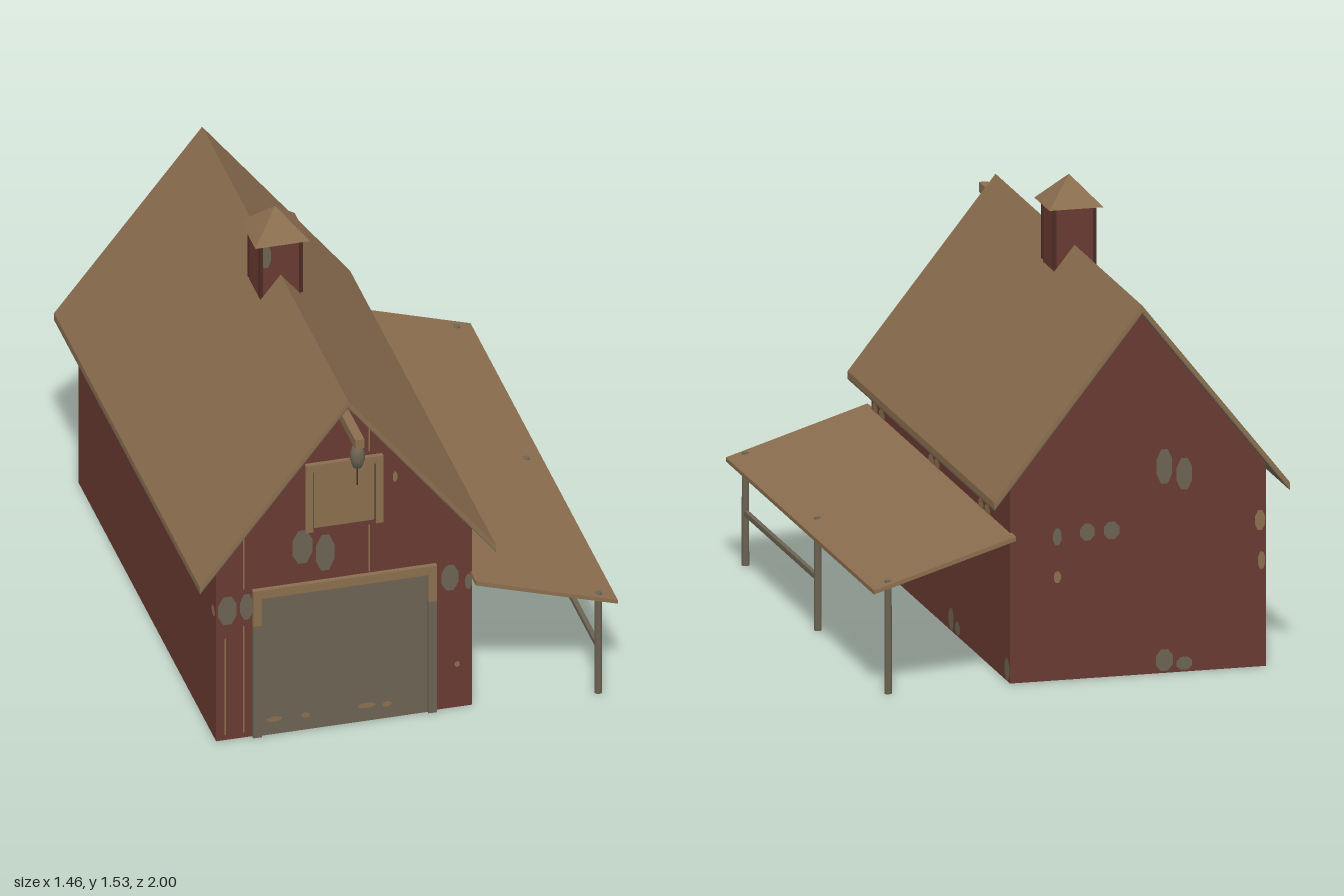
import * as THREE from 'three';

const material = (name, color, side = THREE.FrontSide) => {
  const m = new THREE.MeshStandardMaterial({ color, side });
  m.name = name;
  return m;
};

export function createModel() {
  const red = material('barnRed', 0x683a31);
  const darkRed = material('darkRedTrim', 0x4a2a24);
  const tan = material('tanWood', 0x8a6d4e);
  const grey = material('weatheredGrey', 0x6b6352);
  const dark = material('darkRope', 0x3a3128);
  const barn = new THREE.Group();
  barn.name = 'barn';

  const CX = -0.213, HALF = 0.448, FRONT = 0.8, BACK = -0.945;

  const add = (name, geometry, mat, x = 0, y = 0, z = 0) => {
    const mesh = new THREE.Mesh(geometry, mat);
    mesh.name = name;
    mesh.position.set(x, y, z);
    barn.add(mesh);
    return mesh;
  };
  // box given by its extents
  const box = (name, mat, x0, x1, y0, y1, z0, z1) =>
    add(name, new THREE.BoxGeometry(x1 - x0, y1 - y0, z1 - z0), mat,
      (x0 + x1) / 2, (y0 + y1) / 2, (z0 + z1) / 2);
  // x-y outline swept from z0 to z1
  const prism = (name, mat, points, z0, z1) => {
    const shape = new THREE.Shape(points.map(([x, y]) => new THREE.Vector2(x, y)));
    const geo = new THREE.ExtrudeGeometry(shape, { depth: z1 - z0, bevelEnabled: false });
    return add(name, geo, mat, 0, 0, z0);
  };

  // walls with gables
  prism('walls', red, [
    [CX - HALF, 0], [CX + HALF, 0], [CX + HALF, 0.714], [CX, 1.28], [CX - HALF, 0.714],
  ], BACK, FRONT);

  // main roof: timber shell and weathered underside
  const chevron = (name, mat, top, thick) => prism(name, mat, [
    [CX - 0.518, top - 0.652], [CX - 0.518, top - 0.652 - thick], [CX, top - thick],
    [CX + 0.518, top - 0.652 - thick], [CX + 0.518, top - 0.652], [CX, top],
  ], -1, 0.85);
  chevron('roof', tan, 1.3, 0.022);
  chevron('roofUnderside', grey, 1.278, 0.006);

  // cupola
  box('cupola', red, CX - 0.071, CX + 0.071, 1.2, 1.43, -0.146, -0.004);
  for (const sx of [-1, 1]) for (const sz of [-1, 1]) {
    const x = CX + sx * 0.07, z = -0.075 + sz * 0.07;
    box('cupolaCorner', darkRed, x - 0.006, x + 0.006, 1.222, 1.43, z - 0.006, z + 0.006);
  }
  const cap = new THREE.ConeGeometry(0.095 * Math.SQRT2, 0.1, 4, 1).toNonIndexed();
  cap.rotateY(Math.PI / 4);
  cap.computeVertexNormals();
  add('cupolaRoof', cap, tan, CX, 1.48, -0.075);

  // hoist beam, pulley and rope
  box('hoistBeam', tan, CX - 0.016, CX + 0.016, 1.2, 1.235, 0.78, 1);
  const pulley = [[0, -0.04], [0.016, -0.04], [0.025, -0.012], [0.025, 0.014], [0.017, 0.04], [0, 0.04]];
  add('pulley', new THREE.LatheGeometry(pulley.map(([r, y]) => new THREE.Vector2(r, y)), 10),
    grey, CX, 1.152, 0.968);
  add('rope', new THREE.CylinderGeometry(0.003, 0.003, 0.165, 6), dark, CX, 1.122, 0.968);

  // main door with frame
  box('mainDoor', grey, -0.505, 0.078, 0, 0.55, FRONT, 0.806);
  box('doorLintel', tan, -0.535, 0.108, 0.547, 0.58, FRONT, 0.818);
  for (const [x0, x1] of [[-0.535, -0.505], [0.078, 0.108]]) {
    box('doorPostLower', grey, x0, x1, 0, 0.44, FRONT, 0.816);
    box('doorPostUpper', tan, x0, x1, 0.44, 0.547, FRONT, 0.816);
  }

  // loft hatch with frame
  box('loftHatch', tan, -0.322, -0.105, 0.79, 1.02, FRONT, 0.806);
  box('loftLintel', tan, -0.35, -0.08, 1.018, 1.045, FRONT, 0.818);
  for (const x of [-0.35, -0.105])
    box('loftPost', tan, x, x + 0.025, 0.78, 1.018, FRONT, 0.816);
  for (const x of [-0.325, -0.108])
    box('loftGap', dark, x, x + 0.005, 0.785, 1.018, FRONT, 0.808);

  // lean-to roof, posts and rail
  prism('leanToRoof', tan, [[0.23, 0.51], [0.727, 0.358], [0.727, 0.372], [0.23, 0.526]], -1, 0.867);
  for (const z of [0.835, -0.075, -0.962])
    add('leanToPost', new THREE.CylinderGeometry(0.0125, 0.0135, 0.394, 8), grey, 0.667, 0.197, z);
  box('leanToRail', grey, 0.659, 0.675, 0.175, 0.192, -0.075, 0.835);

  // worn paint patches: [u, v, width, height] on each face
  const place = {
    front: (m, u, v) => m.position.set(u, v, FRONT + 0.002),
    door: (m, u, v) => m.position.set(u, v, 0.808),
    cupola: (m, u, v) => m.position.set(u, v, -0.002),
    back: (m, u, v) => { m.position.set(u, v, BACK - 0.002); m.rotation.y = Math.PI; },
    left: (m, u, v) => { m.position.set(CX + HALF + 0.002, v, u); m.rotation.y = Math.PI / 2; },
    right: (m, u, v) => { m.position.set(CX - HALF - 0.002, v, u); m.rotation.y = -Math.PI / 2; },
    floor: (m, u, v) => { m.position.set(u, 0.0005, v); m.rotation.x = Math.PI / 2; m.position.y = -0.001; },
  };
  const patches = (face, mat, list) => {
    for (const [u, v, w, h] of list) {
      const geo = new THREE.CircleGeometry(0.54, 8, Math.PI / 8);
      geo.scale(w, h, 1);
      place[face](add(face + 'WornPatch', geo, mat), u, v);
    }
  };
  patches('front', grey, [
    [-0.36, 0.72, 0.07, 0.13], [-0.28, 0.685, 0.065, 0.14], [-0.622, 0.51, 0.065, 0.11],
    [-0.555, 0.515, 0.045, 0.1], [0.157, 0.515, 0.06, 0.1], [0.222, 0.49, 0.024, 0.06],
    [-0.52, 0.88, 0.025, 0.05],
  ]);
  patches('front', tan, [[-0.035, 0.945, 0.016, 0.04], [0.182, 0.17, 0.018, 0.022]]);
  patches('door', tan, [
    [-0.46, 0.06, 0.05, 0.02], [-0.35, 0.058, 0.03, 0.02],
    [-0.135, 0.062, 0.06, 0.02], [-0.065, 0.056, 0.03, 0.02],
  ]);
  patches('cupola', grey, [[-0.265, 1.38, 0.036, 0.09]]);
  patches('left', tan, [0.75, 0.665, 0.04, -0.03, -0.585, -0.665].map((z) => [z, 0.535, 0.065, 0.04]));
  patches('left', grey, [
    [0.49, 0.043, 0.065, 0.075], [0.41, 0.03, 0.06, 0.045], [-0.21, 0.043, 0.065, 0.075],
    [-0.29, 0.03, 0.06, 0.045], [-0.912, 0.043, 0.06, 0.075],
  ]);
  patches('right', grey, [
    [-0.49, 0.53, 0.13, 0.08], [-0.43, 0.57, 0.1, 0.1], [0.16, 0.54, 0.1, 0.07], [0.21, 0.57, 0.08, 0.08],
  ]);
  patches('right', tan, [[0.77, 0.5, 0.04, 0.04]]);
  patches('back', grey, [
    [0.07, 0.5, 0.03, 0.06], [-0.035, 0.51, 0.05, 0.06], [-0.12, 0.51, 0.055, 0.06],
    [-0.305, 0.72, 0.055, 0.12], [-0.375, 0.69, 0.055, 0.11],
    [-0.305, 0.045, 0.06, 0.075], [-0.375, 0.03, 0.055, 0.045],
  ]);
  patches('back', tan, [[0.07, 0.36, 0.025, 0.04], [-0.64, 0.51, 0.035, 0.07], [-0.645, 0.37, 0.025, 0.06]]);
  patches('floor', grey, [
    [-0.32, 0.1, 0.14, 0.16], [-0.4, -0.35, 0.12, 0.14], [0.07, 0.48, 0.13, 0.22], [-0.54, 0.61, 0.16, 0.12],
    [0.09, -0.8, 0.16, 0.14], [0.13, -0.26, 0.1, 0.16], [-0.39, -0.8, 0.18, 0.12],
  ]);

  // thin streaks of bare board
  for (const [x, y0, y1] of [[-0.63, 0.02, 0.4], [-0.565, 0.585, 0.82], [-0.565, 0.02, 0.44], [-0.125, 0.585, 0.77], [-0.125, 1.06, 1.15]])
    box('bareStreak', tan, x - 0.0025, x + 0.0025, y0, y1, FRONT, FRONT + 0.002);

  return barn;
}
